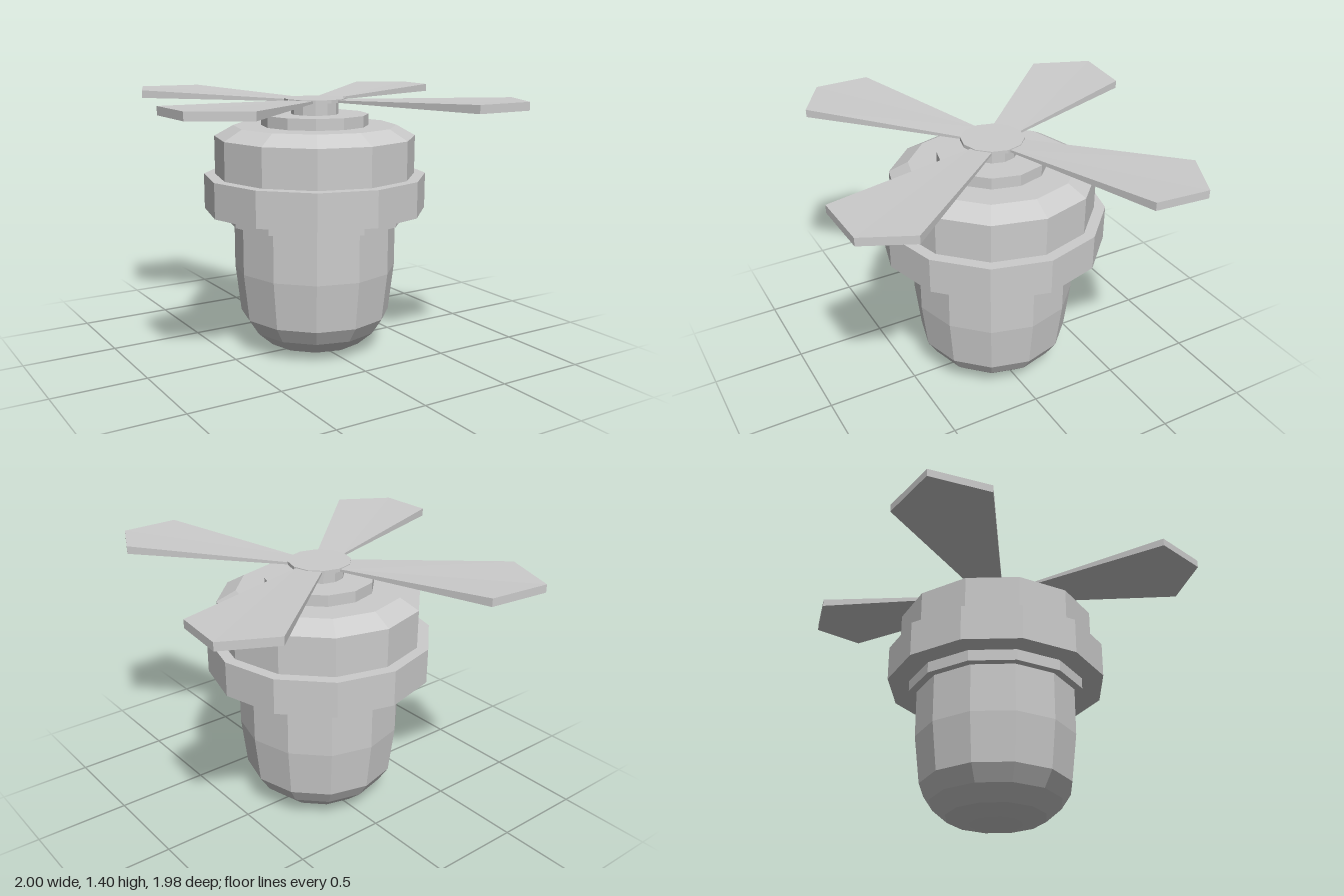
import * as THREE from 'three';

const SIDES = 12;
const material = new THREE.MeshStandardMaterial({ color: 0xcccccc, flatShading: true });

// Faceted turned part from a [radius, height] profile, listed bottom to top
function turned(name, profile) {
  const points = profile.map(([r, y]) => new THREE.Vector2(r, y));
  const mesh = new THREE.Mesh(new THREE.LatheGeometry(points, SIDES), material);
  mesh.name = name;
  mesh.position.z = -0.006;
  return mesh;
}

// Closed straight-sided drum
const drum = (name, r, y0, y1) => turned(name, [[0, y0], [r, y0], [r, y1], [0, y1]]);

// Blade: an outline of [x, z] corners; the first and last form the thinner root
function blade(outline) {
  const BOTTOM = 1.358, ROOT_TOP = 1.37, TIP_TOP = 1.4;
  const shape = new THREE.Shape(outline.map(([x, z]) => new THREE.Vector2(x, -z)));
  const geometry = new THREE.ExtrudeGeometry(shape, { depth: 1, bevelEnabled: false });
  geometry.rotateX(-Math.PI / 2);
  const p = geometry.attributes.position;
  for (let i = 0; i < p.count; i++) {
    const isRoot = Math.hypot(p.getX(i), p.getZ(i)) < 0.3;
    p.setY(i, p.getY(i) < 0.5 ? BOTTOM : isRoot ? ROOT_TOP : TIP_TOP);
  }
  geometry.computeVertexNormals();
  const mesh = new THREE.Mesh(geometry, material);
  mesh.name = 'blade';
  return mesh;
}

export function createModel() {
  const group = new THREE.Group();
  group.name = 'rotorPod';

  // Rounded lower pod
  group.add(turned('pod', [
    [0, 0], [0.14, 0.006], [0.27, 0.04], [0.355, 0.115], [0.41, 0.2],
    [0.44, 0.46], [0.44, 0.74], [0, 0.74],
  ]));

  // Collar, wide ring and bevelled housing
  group.add(drum('collar', 0.483, 0.72, 0.79));
  group.add(drum('ring', 0.6, 0.78, 0.97));
  group.add(turned('housing', [[0, 0.96], [0.54, 0.96], [0.54, 1.175], [0.438, 1.232], [0, 1.232]]));

  // Rotor mount
  group.add(drum('cap', 0.288, 1.225, 1.292));
  group.add(drum('post', 0.128, 1.285, 1.365));
  group.add(drum('hub', 0.165, 1.357, 1.375));

  // Four slightly uneven blades
  const rotor = new THREE.Group();
  rotor.name = 'rotor';
  [
    [[0.05, 0.145], [0.278, 0.989], [0.594, 0.982], [0.711, 0.735], [0.14, 0.075]],
    [[-0.155, -0.003], [-1, 0.267], [-1, 0.567], [-0.733, 0.725], [-0.09, 0.125]],
    [[0, -0.165], [-0.253, -0.957], [-0.588, -0.995], [-0.711, -0.685], [-0.135, -0.085]],
    [[0.155, -0.017], [0.973, -0.291], [1, -0.572], [0.738, -0.706], [0.09, -0.14]],
  ].forEach((outline) => rotor.add(blade(outline)));
  group.add(rotor);

  return group;
}
